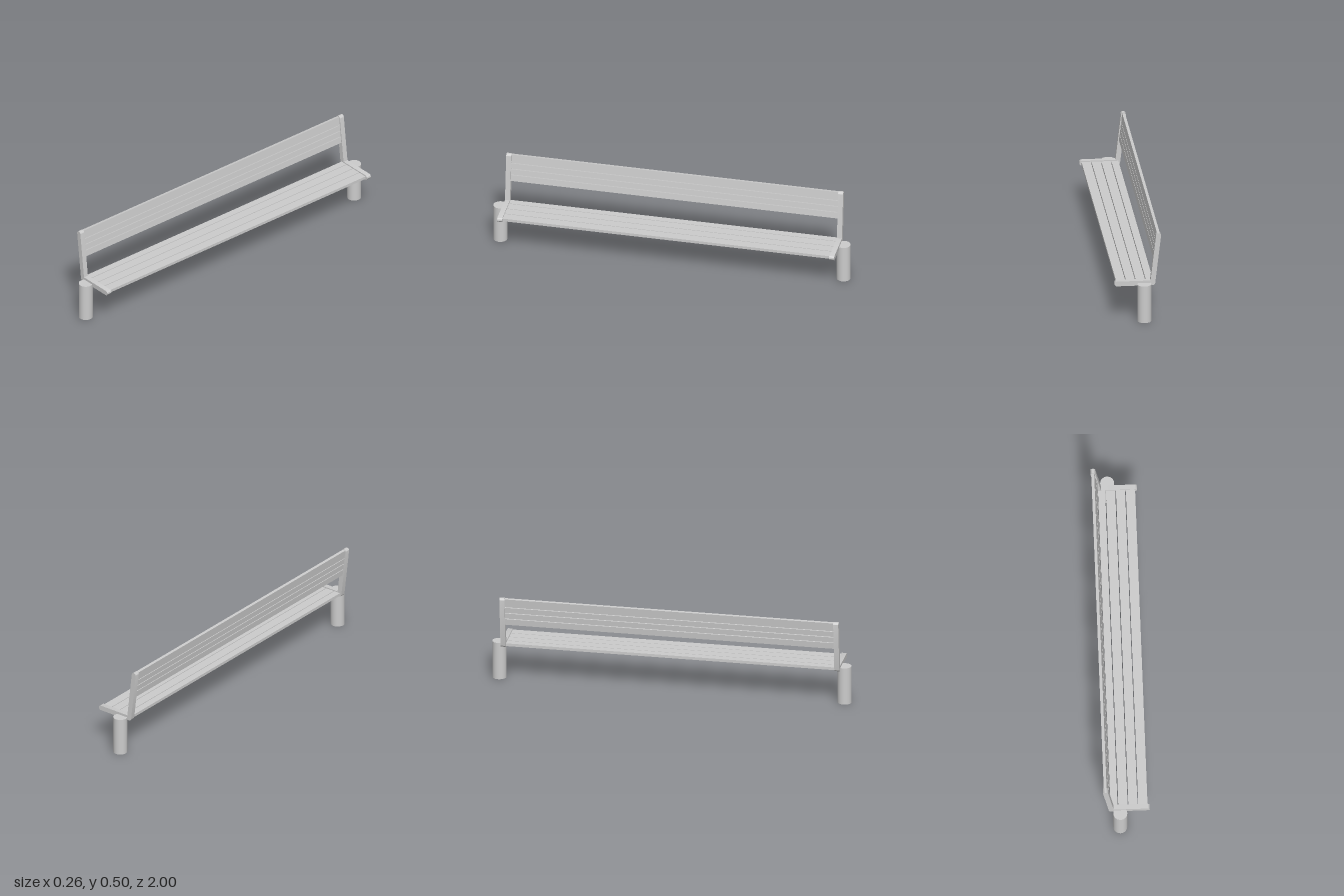
import * as THREE from 'three';
import { toCreasedNormals } from 'three/addons/utils/BufferGeometryUtils.js';

const HEEL = new THREE.Vector2(-0.083, 0.2135); // where seat and back axes meet
const TIP = new THREE.Vector2(-0.115, 0.488);   // top of the back axis
const NOSE = new THREE.Vector2(0.1135, 0.2135); // front of the seat axis
const R = 0.0137;                               // half thickness of the frame
const LEAN = Math.atan2(HEEL.x - TIP.x, TIP.y - HEEL.y);
const GAP = 0.004, SLAT_THICK = 0.016, SLAT_LENGTH = 1.85;

const grey = new THREE.MeshStandardMaterial({ color: 0xcccccc });
const greyOpen = new THREE.MeshStandardMaterial({ color: 0xcccccc, side: THREE.DoubleSide });

function add(parent, name, geometry, material = grey) {
  const mesh = new THREE.Mesh(geometry, material);
  mesh.name = name;
  parent.add(mesh);
  return mesh;
}

// L-shaped side frame with rounded ends and heel, sharp inner corner
function frameGeometry() {
  const top = NOSE.y + R;
  const innerX = HEEL.x + R / Math.cos(LEAN) - R * Math.tan(LEAN);
  const s = new THREE.Shape();
  s.moveTo(NOSE.x, NOSE.y - R);
  s.absarc(NOSE.x, NOSE.y, R, -Math.PI / 2, Math.PI / 2, false);
  s.lineTo(innerX, top);
  s.absarc(TIP.x, TIP.y, R, LEAN, LEAN + Math.PI, false);
  s.absarc(HEEL.x, HEEL.y, R, LEAN + Math.PI, Math.PI * 1.5, false);
  s.closePath();
  const g = new THREE.ExtrudeGeometry(s, { depth: 0.028, bevelEnabled: false, curveSegments: 12 });
  g.translate(0, 0, -0.014);
  return toCreasedNormals(g, 0.6);
}

export function createModel() {
  const bench = new THREE.Group();
  bench.name = 'bench';

  // Frames and legs at both ends
  const frame = frameGeometry();
  for (const side of [-1, 1]) {
    add(bench, 'sideFrame', frame).position.z = side * 0.93;

    // Hollow post with a closed top
    const leg = new THREE.Group();
    leg.name = 'leg';
    leg.position.set(-0.035, 0, side * 0.9615);
    add(leg, 'legPost', new THREE.CylinderGeometry(0.0385, 0.0385, 0.214, 40, 1, true), greyOpen).position.y = 0.107;
    add(leg, 'legTop', new THREE.CircleGeometry(0.0385, 40).rotateX(-Math.PI / 2), greyOpen).position.y = 0.214;
    bench.add(leg);
  }

  // Seat slats, running between the frames
  const seatEdges = [-0.087, -0.044, 0.011, 0.065, 0.12];
  for (let i = 0; i < seatEdges.length - 1; i++) {
    const a = seatEdges[i], b = seatEdges[i + 1] - GAP;
    add(bench, 'seatSlat', new THREE.BoxGeometry(b - a, SLAT_THICK, SLAT_LENGTH)).position.set((a + b) / 2, NOSE.y, 0);
  }

  // Back slats, leaning with the frame
  const backEdges = [0.34, 0.379, 0.414, 0.449, 0.501];
  for (let i = 0; i < backEdges.length - 1; i++) {
    const a = backEdges[i], b = backEdges[i + 1] - GAP, y = (a + b) / 2;
    const slat = add(bench, 'backSlat', new THREE.BoxGeometry(SLAT_THICK, (b - a) / Math.cos(LEAN), SLAT_LENGTH));
    slat.position.set(HEEL.x - (y - HEEL.y) * Math.tan(LEAN), y, 0);
    slat.rotation.z = LEAN;
  }
  return bench;
}
